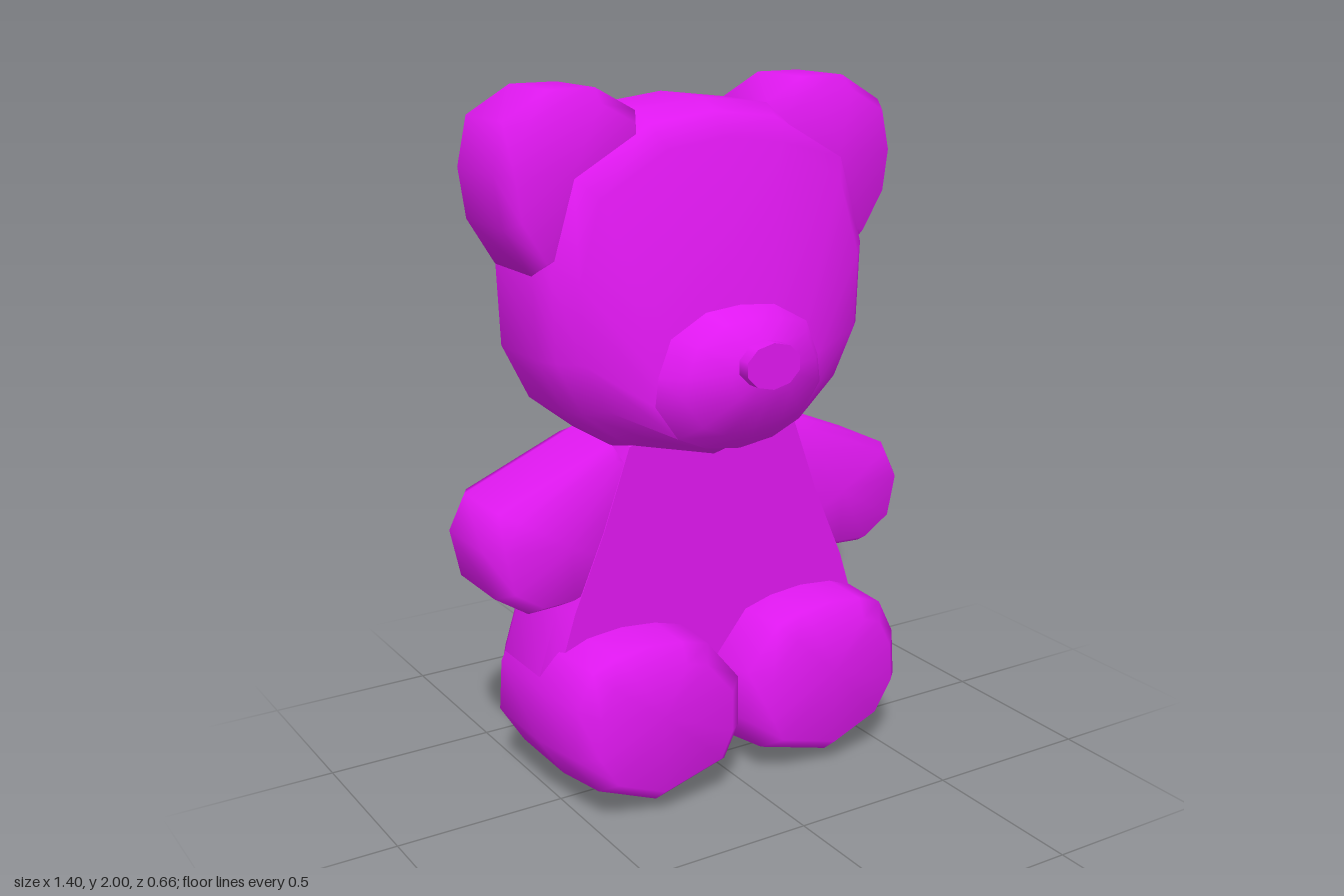
import * as THREE from 'three';
import { toCreasedNormals } from 'three/addons/utils/BufferGeometryUtils.js';

const material = new THREE.MeshStandardMaterial({ color: 0xe018f0 });

// Scales an outline about a centre and places it at depth z
const ringAt = (outline, z, s = 1, [cx, cy] = [0, 0]) =>
  outline.map(([x, y]) => [cx + (x - cx) * s, cy + (y - cy) * s, z]);

// Outline of a symmetric part from its +x half, listed top to bottom
const symmetric = (half) => [
  ...half,
  ...half.slice(1, -1).reverse().map(([x, y]) => [-x, y]),
];

// Mirrors an outline while keeping it clockwise
const mirror = (outline) => outline.map(([x, y]) => [-x, y]).reverse();

// Skins clockwise rings ordered back to front, with optional end caps
function loft(rings, capBack = true, capFront = true) {
  const n = rings[0].length;
  const pos = rings.flat(2);
  const idx = [];
  for (let k = 0; k < rings.length - 1; k++) {
    for (let i = 0; i < n; i++) {
      const a = k * n + i, b = k * n + (i + 1) % n;
      idx.push(a, a + n, b, b, a + n, b + n);
    }
  }
  const cap = (k, front) => {
    const centre = pos.length / 3;
    for (let c = 0; c < 3; c++) pos.push(rings[k].reduce((sum, p) => sum + p[c], 0) / n);
    for (let i = 0; i < n; i++) {
      const a = k * n + i, b = k * n + (i + 1) % n;
      idx.push(centre, ...(front ? [b, a] : [a, b]));
    }
  };
  if (capBack) cap(0, false);
  if (capFront) cap(rings.length - 1, true);
  const geo = new THREE.BufferGeometry();
  geo.setAttribute('position', new THREE.Float32BufferAttribute(pos, 3));
  geo.setIndex(idx);
  geo.computeVertexNormals();
  return geo;
}

export function createModel() {
  const bear = new THREE.Group();
  bear.name = 'teddyBear';
  const add = (name, geo) => {
    const mesh = new THREE.Mesh(geo, material);
    mesh.name = name;
    bear.add(mesh);
    return mesh;
  };

  // Torso: flat front and back with bevelled edges
  const torso = symmetric([[0, 1.1], [0.29, 1.05], [0.38, 0.8], [0.48, 0.57],
    [0.55, 0.35], [0.51, 0.2], [0.28, 0.13], [0, 0.18]]);
  const torsoMid = [0, 0.6];
  add('torso', toCreasedNormals(loft([
    ringAt(torso, -0.312, 0.93, torsoMid), ringAt(torso, -0.25),
    ringAt(torso, -0.03), ringAt(torso, 0.032, 0.95, torsoMid),
  ]), 0.7));

  // Head: rounded block whose face slopes forward to the muzzle
  const head = symmetric([[0, 1.96], [0.21, 1.935], [0.45, 1.8], [0.53, 1.54],
    [0.52, 1.29], [0.44, 1.13], [0.3, 1.02], [0, 0.945]]);
  const muzzle = symmetric([[0, 1.42], [0.11, 1.41], [0.22, 1.35], [0.26, 1.25],
    [0.27, 1.17], [0.2, 1.07], [0.11, 1.03], [0, 1.015]]);
  add('head', loft([
    ringAt(head, -0.33, 0.87, [0, 1.44]), ringAt(head, -0.31, 0.94, [0, 1.44]),
    ringAt(head, -0.25), ringAt(head, -0.03),
    ringAt(head, 0.03, 0.95, [0, 1.3]), ringAt(head, 0.09, 0.85, [0, 1.3]),
    ringAt(muzzle, 0.165),
  ], true, false));

  // Muzzle and nose
  const snout = [0, 1.28];
  add('muzzle', loft([
    ringAt(muzzle, 0.165), ringAt(muzzle, 0.23, 0.8, snout), ringAt(muzzle, 0.29, 0.4, snout),
  ], false, true));
  const nose = add('nose', new THREE.CylinderGeometry(1, 1, 0.05, 10).rotateX(Math.PI / 2));
  nose.scale.set(0.088, 0.064, 1);
  nose.position.set(0, 1.282, 0.305);

  // Paired limbs and ears: outline, centre, then [z, scale, centre y] per ring
  const pairs = {
    Ear: {
      outline: [[0.21, 1.935], [0.33, 2], [0.47, 2], [0.6, 1.925], [0.63, 1.79],
        [0.61, 1.65], [0.53, 1.52], [0.3, 1.58], [0.2, 1.78]],
      cx: 0.42,
      rings: [[-0.31, 0.84, 1.77], [-0.25, 1, 1.77], [-0.03, 1, 1.77], [0.03, 0.84, 1.77]],
    },
    Arm: {
      outline: [[0.3, 1.025], [0.65, 0.88], [0.7, 0.78], [0.67, 0.64],
        [0.57, 0.575], [0.46, 0.58], [0.25, 0.66], [0.15, 0.95]],
      cx: 0.42,
      rings: [[-0.31, 0.86, 0.81], [-0.25, 1, 0.81], [-0.03, 1, 0.81], [0.03, 0.86, 0.81]],
    },
    Leg: {
      outline: [[0.31, 0.5], [0.42, 0.49], [0.5, 0.46], [0.555, 0.35], [0.565, 0.2],
        [0.49, 0.08], [0.295, 0], [0.05, 0.07], [0, 0.17], [0, 0.33], [0.11, 0.465], [0.2, 0.49]],
      cx: 0.29,
      rings: [[-0.31, 0.84, 0.27], [-0.25, 1, 0.27], [0, 1, 0.27],
        [0.19, 0.94, 0.46], [0.243, 0.76, 0.3]],
    },
  };
  for (const [part, { outline, cx, rings }] of Object.entries(pairs)) {
    for (const side of [1, -1]) {
      const shape = side > 0 ? outline : mirror(outline);
      add((side > 0 ? 'left' : 'right') + part,
        loft(rings.map(([z, s, cy]) => ringAt(shape, z, s, [cx * side, cy]))));
    }
  }
  return bear;
}
